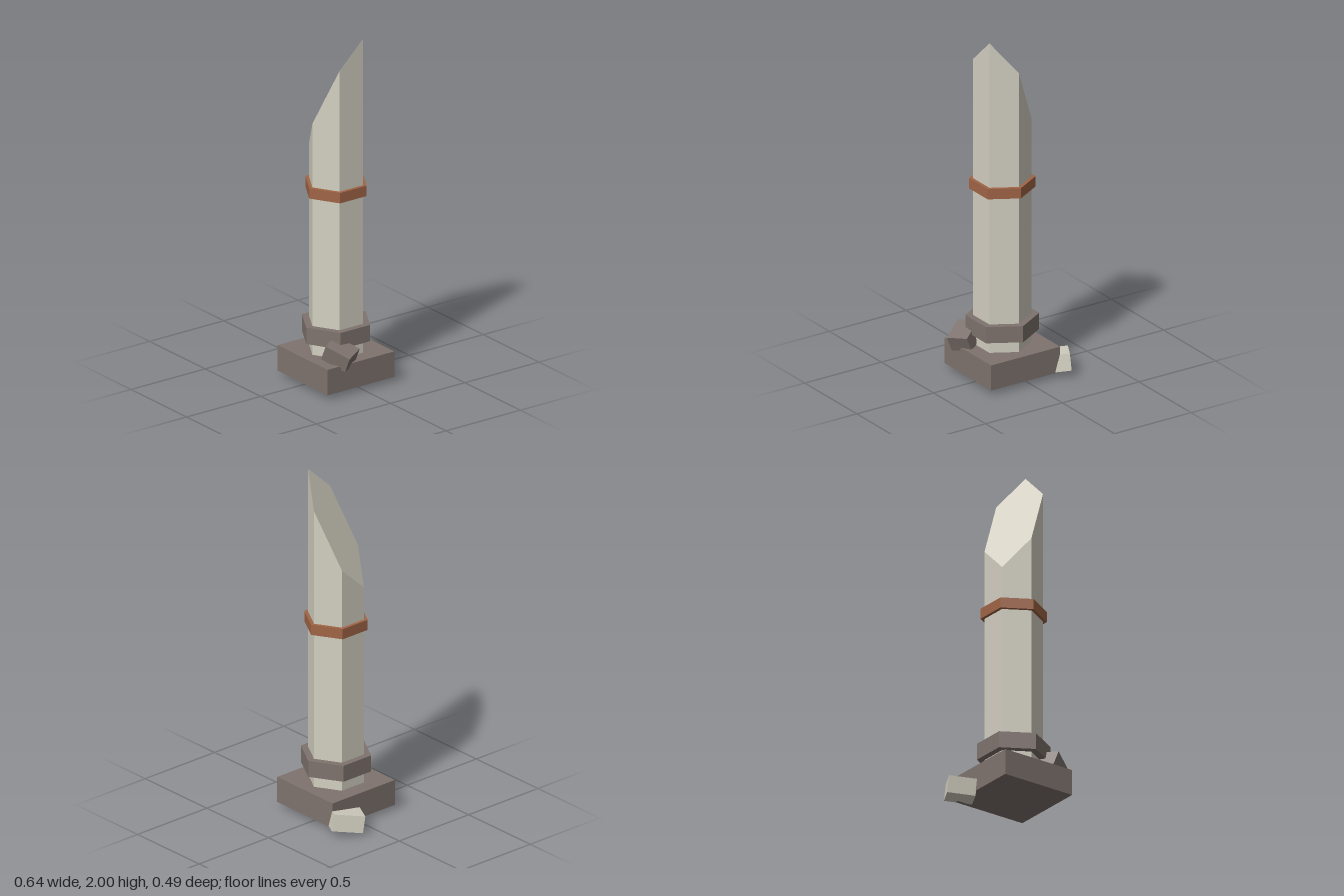
import * as THREE from 'three';

const CX = 0.0375, CZ = 0.021; // axis of the column

export function createModel() {
  const group = new THREE.Group();
  const mat = (name, color) => {
    const m = new THREE.MeshStandardMaterial({ color, flatShading: true });
    m.name = name;
    return m;
  };
  const paleStone = mat('pale stone', 0xd3cfc1);
  const darkStone = mat('dark stone', 0x7f736e);
  const copper = mat('copper', 0xa06545);

  const add = (name, geometry, material, position, rotation = [0, 0, 0]) => {
    const mesh = new THREE.Mesh(geometry, material);
    mesh.name = name;
    mesh.position.set(...position);
    mesh.rotation.set(...rotation);
    group.add(mesh);
    return mesh;
  };
  // six-sided prism standing between two heights
  const hexPrism = (radius, y0, y1) =>
    new THREE.CylinderGeometry(radius, radius, y1 - y0, 6).translate(0, (y0 + y1) / 2, 0);

  // square plinth
  add('plinth', new THREE.BoxGeometry(0.45, 0.148, 0.45), darkStone, [CX, 0.104, CZ]);

  // hexagonal column, its top sheared off by a slanting plane
  const column = hexPrism(0.159, 0.1, 1.67);
  const p = column.attributes.position;
  for (let i = 0; i < p.count; i++) {
    if (p.getY(i) > 1) p.setY(i, 1.67 + 1.855 * p.getX(i) - 0.945 * p.getZ(i));
  }
  column.computeVertexNormals();
  add('column', column, paleStone, [CX, 0, CZ]);

  // collars around the column
  add('lowerCollar', hexPrism(0.2, 0.25, 0.345), darkStone, [CX, 0, CZ]);
  add('copperBand', hexPrism(0.18, 1.09, 1.15), copper, [CX, 0, CZ]);

  // fallen blocks
  add('darkRubble', new THREE.BoxGeometry(0.15, 0.092, 0.125), darkStone,
    [0.212, 0.2245, 0.122], [0.17, 0.463, -0.45]);
  add('paleRubble', new THREE.BoxGeometry(0.154, 0.096, 0.173), paleStone,
    [-0.209, 0.0685, -0.128], [0.181, -0.525, 0]);

  return group;
}
